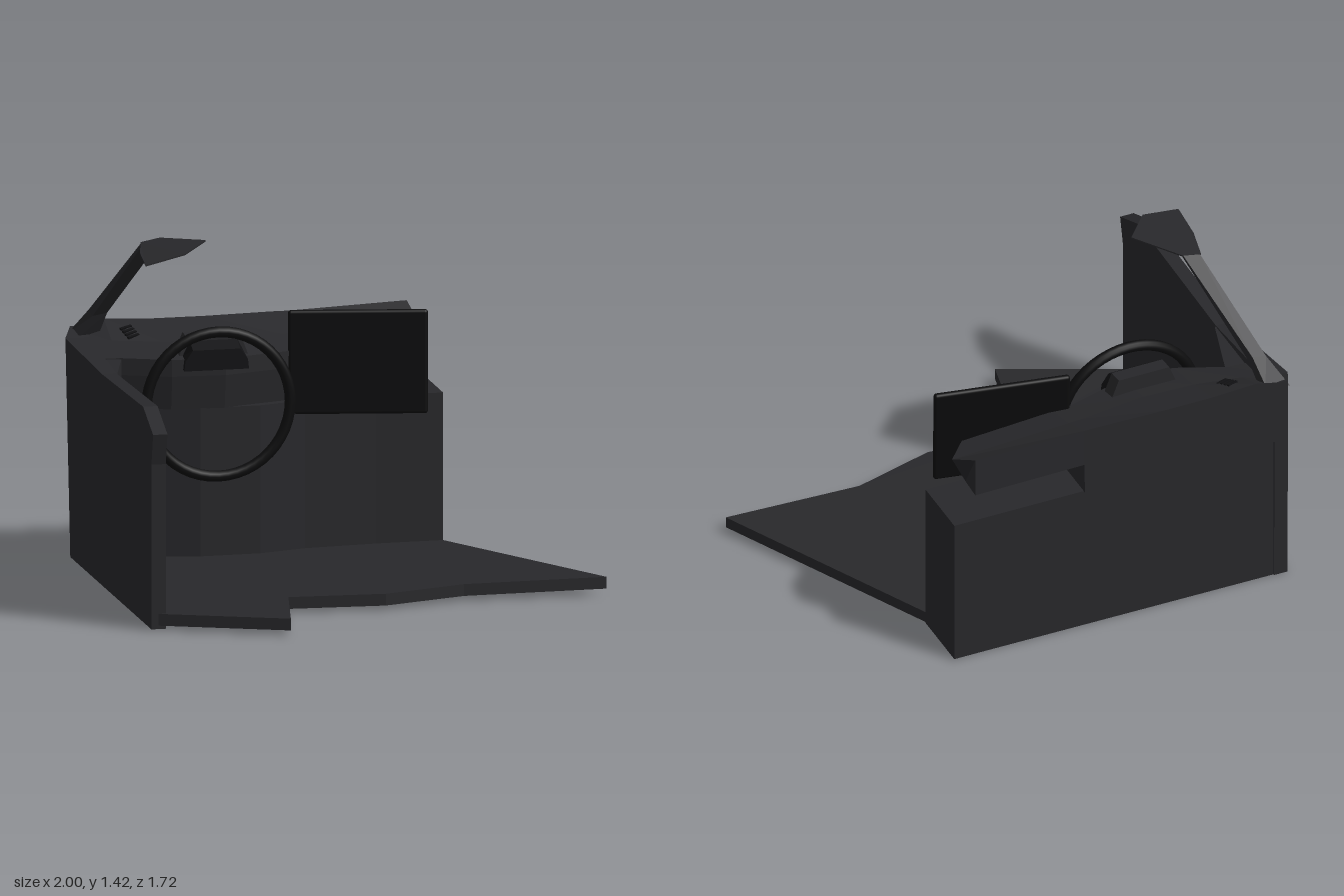
import * as THREE from 'three';
import { RoundedBoxGeometry } from 'three/addons/geometries/RoundedBoxGeometry.js';

const mat = (color, flat = true) =>
  new THREE.MeshStandardMaterial({ color, flatShading: flat, side: THREE.DoubleSide });
const trim = mat(0x28282b);
const black = mat(0x0c0c0d, false);
const dark = mat(0x111113);

// prism from a plan outline of [x, z] points
function plan(points, y0, y1) {
  const shape = new THREE.Shape(points.map(([x, z]) => new THREE.Vector2(x, -z)));
  const g = new THREE.ExtrudeGeometry(shape, { depth: y1 - y0, bevelEnabled: false });
  return g.rotateX(-Math.PI / 2).translate(0, y0, 0);
}

// skin through equal-length loops of [x, y, z] points, capped at both ends
function loft(loops) {
  const n = loops[0].length, index = [];
  for (let i = 0; i < loops.length - 1; i++)
    for (let j = 0; j < n; j++) {
      const a = i * n + j, b = i * n + (j + 1) % n;
      index.push(a, b, a + n, b, b + n, a + n);
    }
  const last = (loops.length - 1) * n;
  for (let j = 1; j < n - 1; j++) {
    index.push(0, j + 1, j);
    index.push(last, last + j, last + j + 1);
  }
  const g = new THREE.BufferGeometry();
  g.setAttribute('position', new THREE.Float32BufferAttribute(loops.flat(2), 3));
  g.setIndex(index);
  const flat = g.toNonIndexed();
  flat.computeVertexNormals();
  return flat;
}

// move every vertex by a rule
function bend(g, rule) {
  const p = g.attributes.position, v = new THREE.Vector3();
  for (let i = 0; i < p.count; i++) {
    rule(v.fromBufferAttribute(p, i));
    p.setXYZ(i, v.x, v.y, v.z);
  }
  g.computeVertexNormals();
  return g;
}

export function createModel() {
  const model = new THREE.Group();
  const add = (name, geometry, material = trim) => {
    const m = new THREE.Mesh(geometry, material);
    m.name = name;
    model.add(m);
    return m;
  };

  // floor slab with its broken front edge, rising slightly to the front
  const floor = plan([[-0.93, 0.63], [-0.43, 0.855], [-0.34, 0.42], [0.06, 0.45], [0.41, 0.35],
    [1, 0.37], [0.53, -0.55], [0.53, -0.83], [-0.93, -0.83]], 0, 1);
  add('floor', bend(floor, v => {
    const rise = Math.max(0, v.x) * 0.01;
    v.y = v.y > 0.5 ? 0.06 + 0.013 * v.z + rise : 0.011 + 0.013 * v.z + rise;
  }));

  // lower bulkhead block
  add('bulkhead', plan([[-0.95, -0.83], [0.53, -0.83], [0.53, -0.55], [0.25, -0.55], [-0.05, -0.53],
    [-0.25, -0.475], [-0.5, -0.475], [-0.82, -0.56], [-0.95, -0.56]], 0.005, 0.672));

  // side wall, flaring out at the rear upper corner
  const side = new THREE.Shape([[0.63, 0.005], [0.63, 0.69], [0.66, 0.82], [0.48, 0.9], [-0.27, 0.88],
    [-0.75, 0.93], [-0.84, 0.96], [-0.84, 0.8], [-0.835, 0]].map(([z, y]) => new THREE.Vector2(-z, y)));
  const wall = new THREE.ExtrudeGeometry(side, { depth: 0.06, bevelEnabled: false });
  wall.rotateY(Math.PI / 2).translate(-0.96, 0, 0);
  add('sideWall', bend(wall, v => {
    if (v.y > 0.92 && Math.abs(v.z + 0.75) < 0.01 && v.x < -0.93) v.x = -1;
  }));
  add('sideWallInnerPanel', plan([[-0.91, -0.27], [-0.895, -0.27], [-0.81, -0.56], [-0.81, -0.8],
    [-0.91, -0.8]], 0.02, 0.875));

  // upper dashboard: front edge z, front top y, back top y, back bottom y at each x
  const section = ([x, zf, yf, yt, yb]) => [[x, 0.67, zf - 0.02], [x, 0.81, zf], [x, yf, zf],
    [x, (yf + yt) / 2 - 0.01, (zf - 0.84) / 2], [x, yt, -0.84], [x, yb, -0.84]];
  const stations = [
    [-0.95, -0.56, 0.88, 0.95, 0.67], [-0.82, -0.55, 0.88, 0.985, 0.67],
    [-0.62, -0.465, 0.88, 0.975, 0.67], [-0.4, -0.45, 0.88, 0.975, 0.67],
    [-0.12, -0.53, 0.88, 0.98, 0.67], [-0.05, -0.535, 0.88, 0.98, 0.67],
    [-0.049, -0.535, 0.88, 0.98, 0.81]].map(section);
  const end = [[0.36, 0.675, -0.57], [0.37, 0.81, -0.55], [0.37, 0.87, -0.555],
    [0.48, 0.905, -0.7], [0.45, 0.995, -0.86], [0.45, 0.82, -0.86]];
  add('dashboard', loft([...stations, end]));

  // instrument hood
  const hood = (z, s, y0, y1) => [[-0.44 - 0.15 * s, y0, z], [-0.44 + 0.15 * s, y0, z],
    [-0.44 + 0.145 * s, y0 + 0.04, z], [-0.44 + 0.11 * s, y1, z],
    [-0.44 - 0.11 * s, y1, z], [-0.44 - 0.145 * s, y0 + 0.04, z]];
  add('instrumentHood', loft([hood(-0.57, 1.03, 0.84, 0.972), hood(-0.5, 1.03, 0.83, 0.965)]));
  add('instrumentFace', loft([hood(-0.505, 0.9, 0.845, 0.95), hood(-0.44, 0.9, 0.835, 0.92)]), dark);

  // steering wheel
  add('steeringWheel', new THREE.TorusGeometry(0.3, 0.023, 12, 48), black)
    .position.set(-0.44, 0.7, -0.41);

  // display panel turned towards the driver
  const display = add('displayPanel', new RoundedBoxGeometry(0.57, 0.43, 0.028, 3, 0.013), black);
  display.position.set(0.16, 0.832, -0.485);
  display.rotation.set(-0.03, -0.19, 0, 'YXZ');

  // vent slats
  for (let i = 0; i < 4; i++) {
    const slat = add('ventSlat', new THREE.BoxGeometry(0.055, 0.012, 0.012), dark);
    slat.position.set(-0.745 + i * 0.006, 0.957 - i * 0.008, -0.765 + i * 0.02);
    slat.rotation.set(0.3, 0.45, 0);
  }

  // windscreen pillar
  add('pillar', loft([
    [[-0.97, 0.93, -0.84], [-0.86, 0.96, -0.84], [-0.85, 0.95, -0.77], [-0.95, 0.92, -0.77]],
    [[-0.9, 1.045, -0.755], [-0.84, 1.055, -0.755], [-0.83, 1.03, -0.735], [-0.89, 1.02, -0.735]],
    [[-0.755, 1.385, -0.43], [-0.68, 1.4, -0.43], [-0.68, 1.39, -0.415], [-0.755, 1.375, -0.415]]]));

  // roof corner, a thin folded plate
  const rim = [[-0.76, 1.385, -0.43], [-0.68, 1.4, -0.43], [-0.53, 1.42, -0.25],
    [-0.65, 1.4, -0.1], [-0.82, 1.365, -0.08], [-0.8, 1.375, -0.27]];
  add('roofCorner', loft([rim, rim.map(([x, y, z]) => [x, y - 0.006, z])]));

  return model;
}
